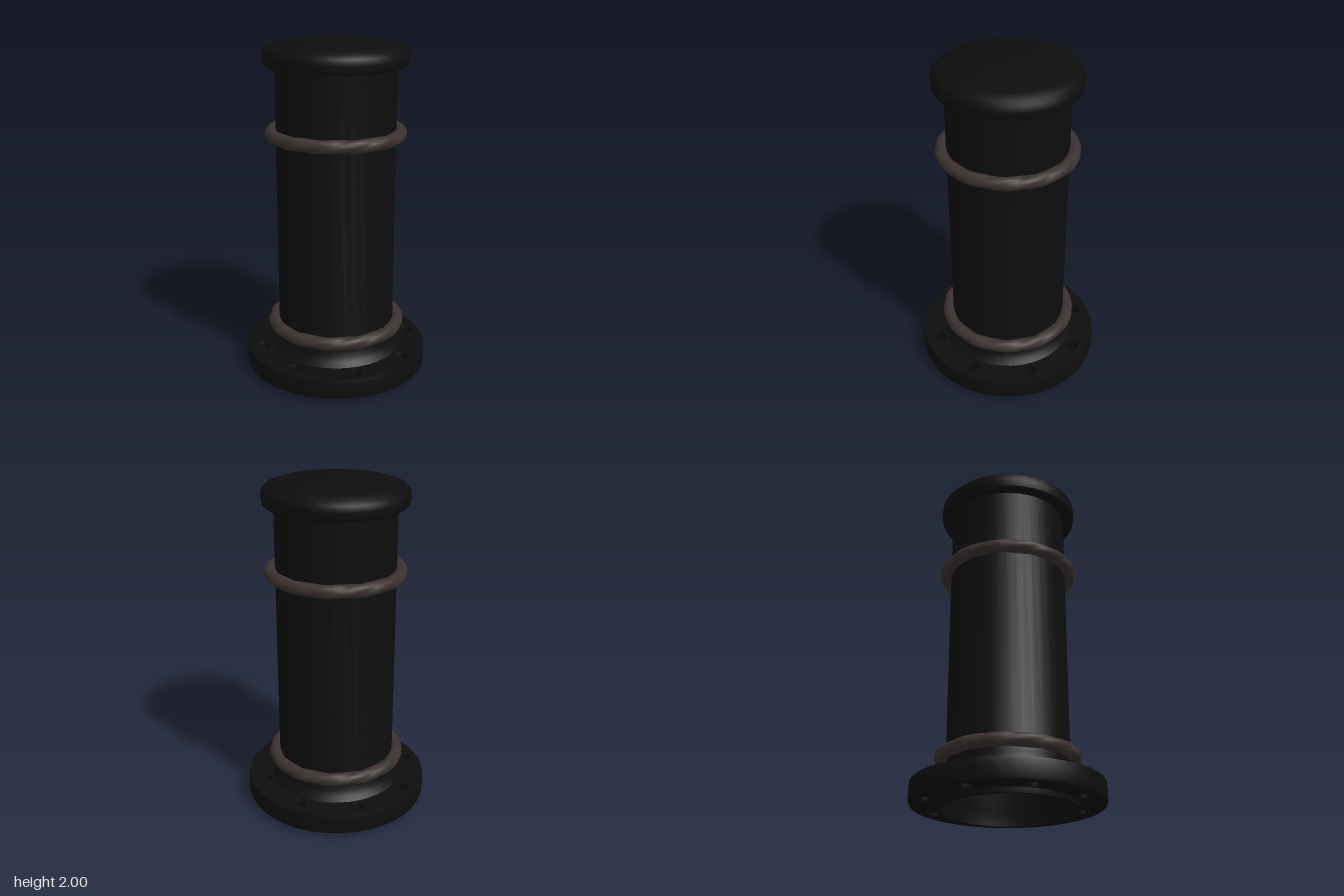
import * as THREE from 'three';
import { mergeVertices, toCreasedNormals } from 'three/addons/utils/BufferGeometryUtils.js';

const SIDES = 40;

function lathe(points) {
  const geo = new THREE.LatheGeometry(points.map(([r, y]) => new THREE.Vector2(r, y)), SIDES);
  return toCreasedNormals(geo, 0.7);
}

// Twisted three-strand rope ring, made by lobing the section of a torus
function ropeRing() {
  const R = 0.375, strands = 3, turns = 4;
  const geo = new THREE.TorusGeometry(R, 0.037, 18, 120);
  const pos = geo.attributes.position, uv = geo.attributes.uv;
  for (let i = 0; i < pos.count; i++) {
    const u = uv.getX(i) * Math.PI * 2, v = uv.getY(i) * Math.PI * 2;
    const r = 0.034 + 0.006 * Math.abs(Math.cos((strands * (v - turns * u)) / 2));
    const d = R + r * Math.cos(v);
    pos.setXYZ(i, d * Math.cos(u), d * Math.sin(u), r * Math.sin(v));
  }
  geo.deleteAttribute('uv');
  geo.deleteAttribute('normal');
  const smooth = mergeVertices(geo, 1e-5);
  smooth.computeVertexNormals();
  smooth.rotateX(-Math.PI / 2);
  return smooth;
}

// Round plate with eight bolt holes and softened edges
function flangeGeometry() {
  const shape = new THREE.Shape();
  shape.absarc(0, 0, 0.548, 0, Math.PI * 2);
  const addHole = (x, y, r) => {
    const hole = new THREE.Path();
    hole.absarc(x, y, r, 0, Math.PI * 2, true);
    shape.holes.push(hole);
  };
  addHole(0, 0, 0.38);
  const bevel = 0.015;
  for (let i = 0; i < 8; i++) {
    const a = (i + 0.5) * Math.PI / 4;
    addHole(0.457 * Math.cos(a), 0.457 * Math.sin(a), 0.038);
  }
  const geo = new THREE.ExtrudeGeometry(shape, {
    depth: 0.115 - 2 * bevel, curveSegments: 20,
    bevelEnabled: true, bevelSize: 0.004, bevelOffset: -0.004, bevelThickness: bevel, bevelSegments: 1,
  });
  geo.rotateX(-Math.PI / 2);
  geo.translate(0, 0.03 + bevel, 0);
  return toCreasedNormals(geo, 0.7);
}

export function createModel() {
  const iron = new THREE.MeshStandardMaterial({ color: 0x0d0d0d });
  iron.name = 'blackIron';
  const ropeMat = new THREE.MeshStandardMaterial({ color: 0x3b3130 });
  ropeMat.name = 'brownRope';

  const group = new THREE.Group();
  group.name = 'bollard';
  const add = (name, geo, mat, y = 0) => {
    const mesh = new THREE.Mesh(geo, mat);
    mesh.name = name;
    mesh.position.y = y;
    group.add(mesh);
  };

  // Hollow post: inner wall, foot ring, flared collar, outer wall
  add('post', lathe([
    [0, 1.84], [0.325, 1.84], [0.325, 0.2], [0.365, 0.08], [0.37, 0],
    [0.395, 0], [0.4, 0.03], [0.4, 0.145], [0.375, 0.17], [0.358, 0.2], [0.35, 0.24], [0.35, 1.87],
  ]), iron);

  // Overhanging cap with a shallow dome
  add('cap', lathe([
    [0.33, 1.85], [0.4, 1.85], [0.413, 1.86], [0.42, 1.9], [0.415, 1.935], [0.395, 1.957],
    [0.34, 1.974], [0.24, 1.989], [0.12, 1.998], [0, 2],
  ]), iron);

  add('flange', flangeGeometry(), iron);

  const rope = ropeRing();
  add('lowerRope', rope, ropeMat, 0.29);
  add('upperRope', rope, ropeMat, 1.462);

  return group;
}
